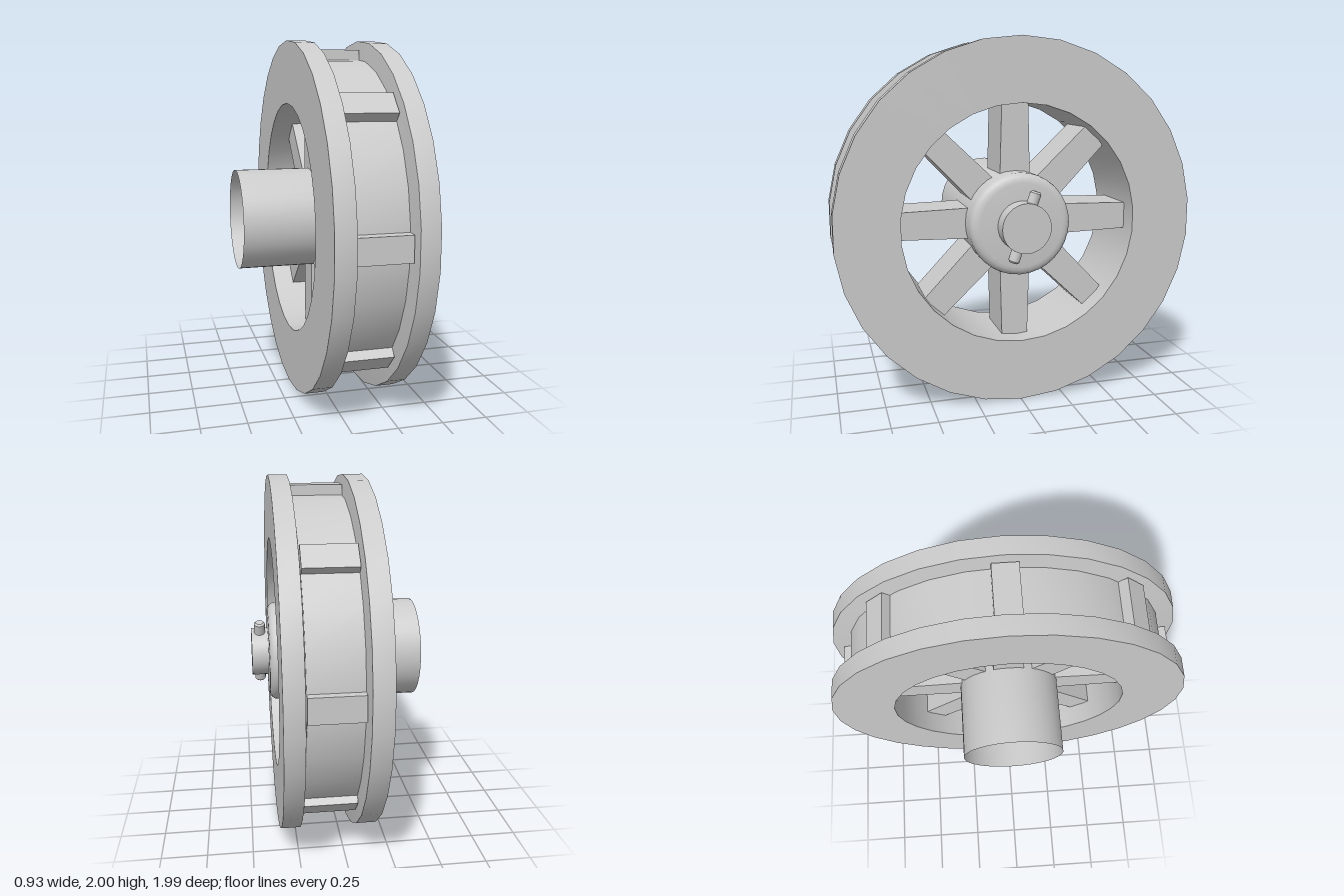
import * as THREE from 'three';
import { toCreasedNormals } from 'three/addons/utils/BufferGeometryUtils.js';

export function createModel() {
  const model = new THREE.Group();
  model.name = 'wheel';
  const solid = new THREE.MeshStandardMaterial({ color: 0xcccccc });
  const open = new THREE.MeshStandardMaterial({ color: 0xcccccc, side: THREE.DoubleSide });

  const add = (name, geometry, parent, material = solid) => {
    const mesh = new THREE.Mesh(geometry, material);
    mesh.name = name;
    parent.add(mesh);
    return mesh;
  };

  // Turns a [radius, height] profile about the y axis
  const turn = (profile, sides) => toCreasedNormals(
    new THREE.LatheGeometry(profile.map(([r, h]) => new THREE.Vector2(r, h)), sides), 0.6);

  // Same, with the axis laid along x and a corner at the top
  const turnAboutX = (profile, sides) =>
    turn(profile, sides).rotateY(Math.PI / 2).rotateZ(-Math.PI / 2);

  // Rim: two flanges joined by a recessed drum
  const rim = add('rim', turnAboutX([
    [0.655, -0.17], [1, -0.17], [1, -0.062], [0.9, -0.05], [0.9, 0.23],
    [1, 0.242], [1, 0.345], [0.655, 0.345], [0.655, -0.17],
  ], 30), model);
  rim.position.y = 1;

  const centre = new THREE.Group();
  centre.name = 'hubAndSpokes';
  centre.position.set(0, 1.004, 0.007);
  model.add(centre);

  // Spokes taper outward and poke through the drum
  const inner = 0.25, outer = 0.945;
  const spokeGeometry = new THREE.BoxGeometry(0.28, outer - inner, 1);
  spokeGeometry.translate(0.09, (inner + outer) / 2, 0);
  const p = spokeGeometry.attributes.position;
  for (let i = 0; i < p.count; i++) {
    p.setZ(i, p.getZ(i) * (p.getY(i) > 0.5 ? 0.135 : 0.17));
  }
  spokeGeometry.computeVertexNormals();
  for (let i = 0; i < 8; i++) {
    add('spoke', spokeGeometry, centre).rotation.x = i * Math.PI / 4;
  }

  // Hub: a sleeve open at the back, with a rounded front cap
  add('hub', turnAboutX([
    [0.281, -0.47], [0.281, 0.325], [0.277, 0.343], [0.266, 0.358],
    [0.25, 0.367], [0.23, 0.37], [0, 0.37],
  ], 32), centre, open);

  // Axle end
  add('axle', turnAboutX([[0, 0.36], [0.135, 0.36], [0.135, 0.463], [0, 0.463]], 32), centre);

  // Locking pin across the axle
  const pin = add('lockingPin', turn([
    [0, -0.2], [0.022, -0.2], [0.031, -0.19], [0.031, 0.19], [0.022, 0.2], [0, 0.2],
  ], 16), centre);
  pin.position.x = 0.416;
  pin.rotation.x = -0.32;

  return model;
}
